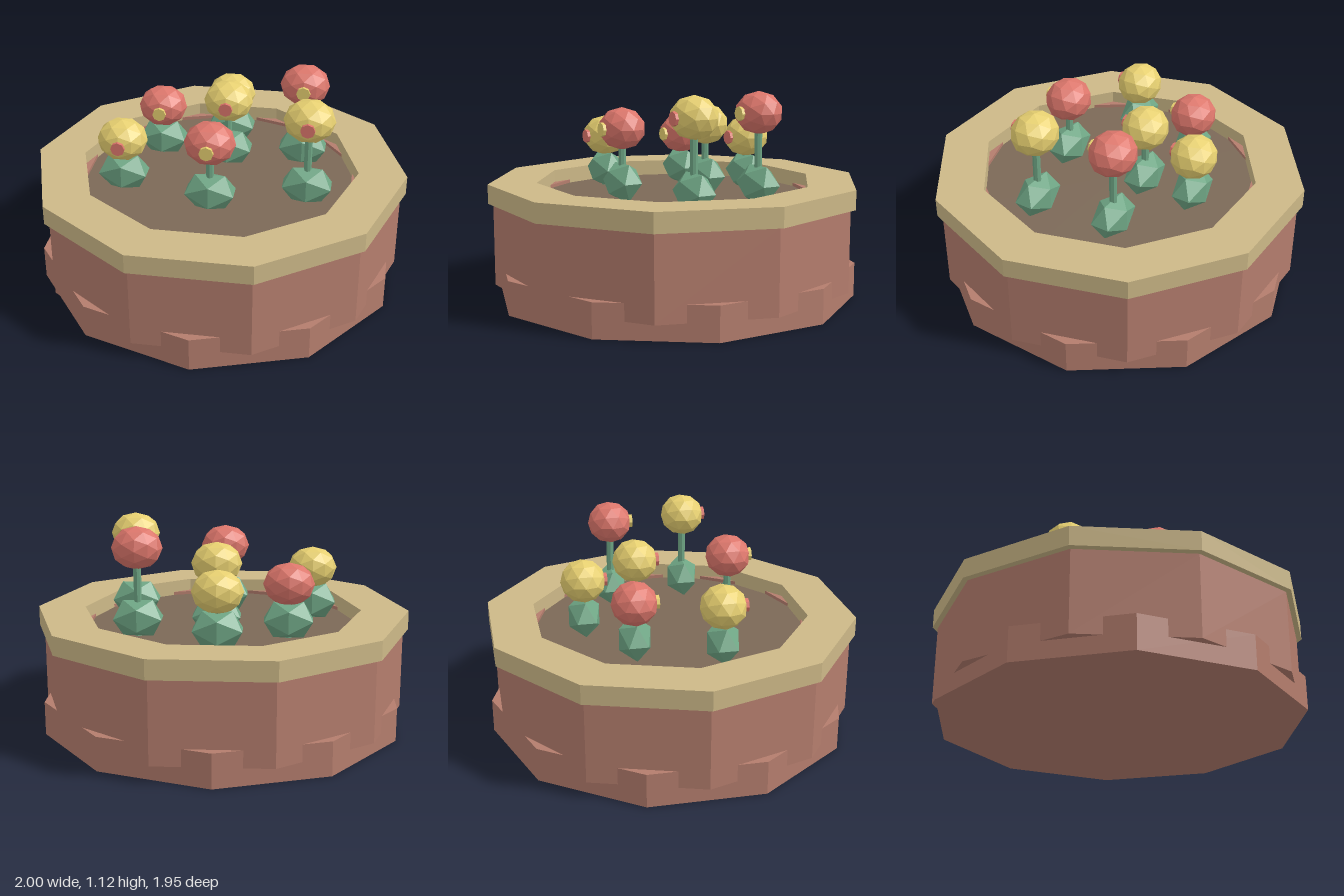
import * as THREE from 'three';

const mat = (color) => new THREE.MeshStandardMaterial({ color, flatShading: true });
const BRICK = mat(0xb47d6d), RIM = mat(0xccb887), SOIL = mat(0x7c6957);
const GREEN = mat(0x6fa685), YELLOW = mat(0xe6cf70), RED = mat(0xdc766b);
const SIDES = 10;

function add(parent, name, geometry, material, x = 0, y = 0, z = 0) {
  const mesh = new THREE.Mesh(geometry, material);
  mesh.name = name;
  mesh.position.set(x, y, z);
  parent.add(mesh);
  return mesh;
}

// Ten-sided ring with a square section, open in the middle
function ring(outer, inner, bottom, top) {
  const section = [[inner, bottom], [outer, bottom], [outer, top], [inner, top], [inner, bottom]];
  return new THREE.LatheGeometry(section.map(([r, y]) => new THREE.Vector2(r, y)), SIDES);
}

// Stem, leafy clump and round bloom with a contrasting centre facing +z
function createFlower(x, y, z, petals, centre) {
  const flower = new THREE.Group();
  flower.name = 'flower';
  flower.position.set(x, 0, z);
  const soilY = 0.52;
  add(flower, 'stem', new THREE.CylinderGeometry(0.02, 0.02, y - soilY, 8), GREEN, 0, (y + soilY) / 2, 0);
  add(flower, 'leaves', new THREE.IcosahedronGeometry(1, 0), GREEN, 0, 0.635, 0).scale.set(0.148, 0.112, 0.095);
  add(flower, 'bloom', new THREE.IcosahedronGeometry(1, 1), petals, 0, y, 0).scale.set(0.133, 0.112, 0.12);
  const disc = new THREE.CylinderGeometry(0.037, 0.037, 0.04, 8).rotateX(Math.PI / 2);
  add(flower, 'bloomCentre', disc, centre, 0, y, 0.105);
  return flower;
}

export function createModel() {
  const model = new THREE.Group();
  model.name = 'flowerPlanter';
  const turn = Math.PI / SIDES;

  // Two brick courses, turned half a side against each other
  add(model, 'baseCourse', new THREE.CylinderGeometry(0.973, 0.973, 0.18, SIDES), BRICK, 0, 0.09, 0);
  add(model, 'wallCourse', new THREE.CylinderGeometry(0.973, 0.973, 0.43, SIDES), BRICK, 0, 0.305, 0).rotation.y = turn;
  add(model, 'innerCourse', ring(0.85, 0.745, 0.45, 0.56), BRICK);

  // Rim and soil
  add(model, 'rim', ring(1, 0.745, 0.525, 0.627), RIM).rotation.y = turn;
  add(model, 'soil', new THREE.CylinderGeometry(0.77, 0.77, 0.1, SIDES), SOIL, 0, 0.492, 0).rotation.y = turn;

  // Flowers: x, bloom height, z, whether red
  const flowers = [
    [-0.485, 0.825, 0.175, false], [0.485, 1.005, 0.175, false],
    [0, 0.915, 0.32, true], [0.02, 0.915, -0.18, false],
    [-0.355, 0.825, -0.25, true], [0.425, 1.005, -0.25, true],
    [0, 0.83, -0.46, false],
  ];
  for (const [x, y, z, red] of flowers) {
    model.add(createFlower(x, y, z, red ? RED : YELLOW, red ? YELLOW : RED));
  }
  return model;
}
